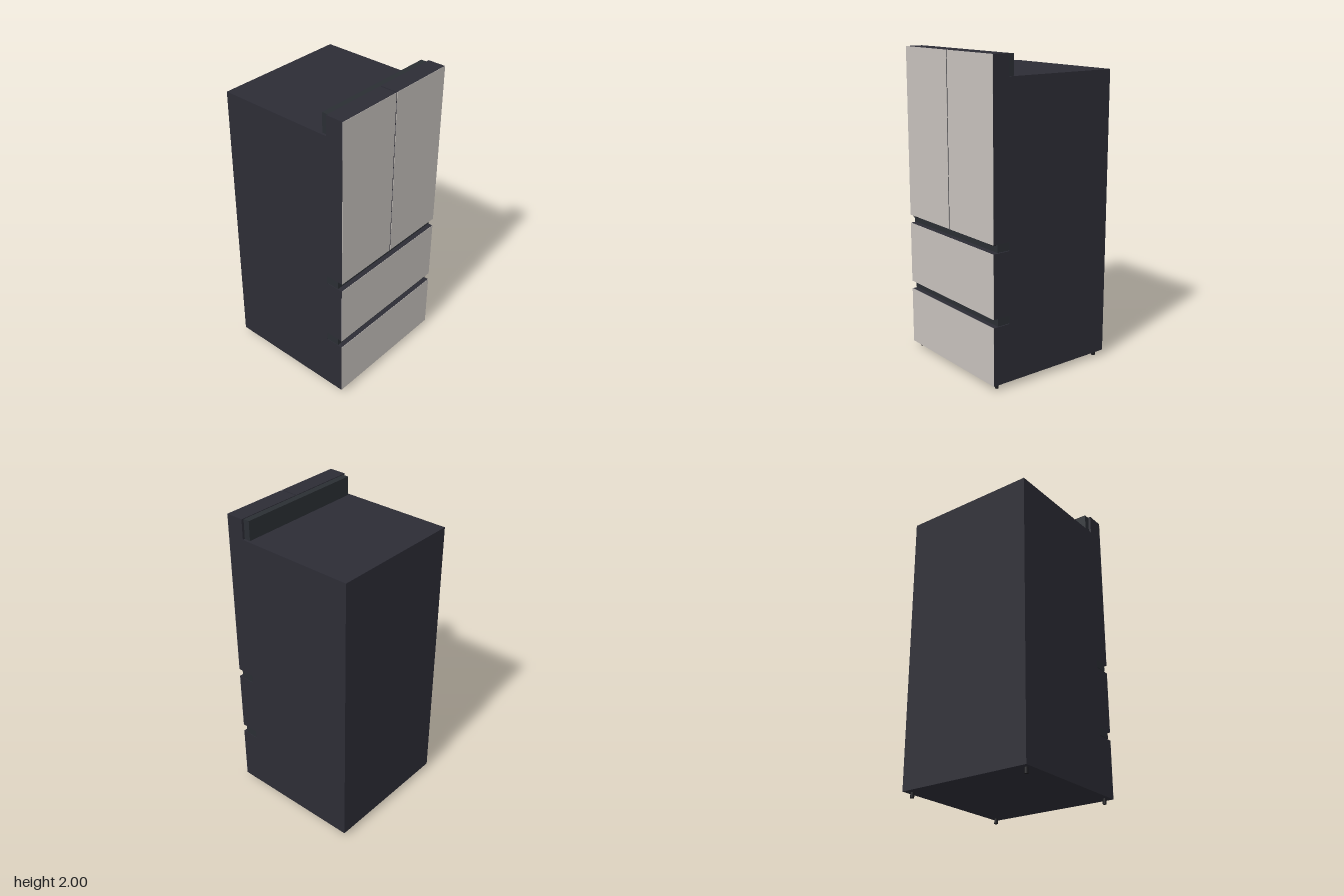
import * as THREE from 'three';

export function createModel() {
  const model = new THREE.Group();
  const material = (name, color) => {
    const m = new THREE.MeshStandardMaterial({ color });
    m.name = name;
    return m;
  };
  const casing = material('dark casing', 0x2c2c35);
  const trim = material('charcoal trim', 0x2a2e33);
  const panel = material('pale panel', 0xc6c1bc);
  const black = material('black hardware', 0x1c1c20);

  // Box given by its limits on each axis
  const box = (name, mat, x0, x1, y0, y1, z0, z1, parent = model) => {
    const mesh = new THREE.Mesh(new THREE.BoxGeometry(x1 - x0, y1 - y0, z1 - z0), mat);
    mesh.position.set((x0 + x1) / 2, (y0 + y1) / 2, (z0 + z1) / 2);
    mesh.name = name;
    parent.add(mesh);
    return mesh;
  };

  const W = 0.448, BACK = -0.448, FRONT = 0.448, SEAM = 0.33, RECESS = 0.417;
  const BOTTOM = 0.034, TOP = 1.872, GAP = 0.004;

  // Cabinet
  box('cabinet', casing, -W, W, BOTTOM, TOP, BACK, SEAM);

  // Dark door or drawer core with a thin pale face
  const front = (name, x0, x1, y0, y1) => {
    const group = new THREE.Group();
    group.name = name;
    box('core', casing, x0, x1, y0, y1, SEAM, FRONT - 0.002, group);
    box('facePanel', panel, x0, x1, y0, y1, FRONT - 0.002, FRONT, group);
    model.add(group);
  };
  front('rightDoor', -W, -GAP, 0.915, 2);
  front('leftDoor', GAP, W, 0.915, 2);
  front('upperDrawer', -W, W, 0.46, 0.861);
  front('lowerDrawer', -W, W, BOTTOM, 0.407);

  // Recessed grips, leaving a fine seam above each drawer
  for (const [y0, y1] of [[0.861, 0.915], [0.407, 0.46]]) {
    box('gripRecess', trim, -W, W, y0 + 0.004, y1, SEAM, RECESS);
  }

  // Hinge cover behind the top of the doors
  box('hingeCover', trim, -0.432, 0.432, TOP, 1.996, 0.288, SEAM);

  for (const side of [-1, 1]) {
    // Lower door hinges
    const hinge = box('lowerHinge', black, -0.03, 0.03, 0.905, 0.915, RECESS, 0.436);
    hinge.position.x = side * 0.4;

    // Levelling feet
    for (const z of [-0.4, 0.4]) {
      const foot = new THREE.Mesh(new THREE.CylinderGeometry(0.012, 0.012, BOTTOM, 16), black);
      foot.position.set(side * 0.413, BOTTOM / 2, z);
      foot.name = 'foot';
      model.add(foot);
    }
  }
  return model;
}
